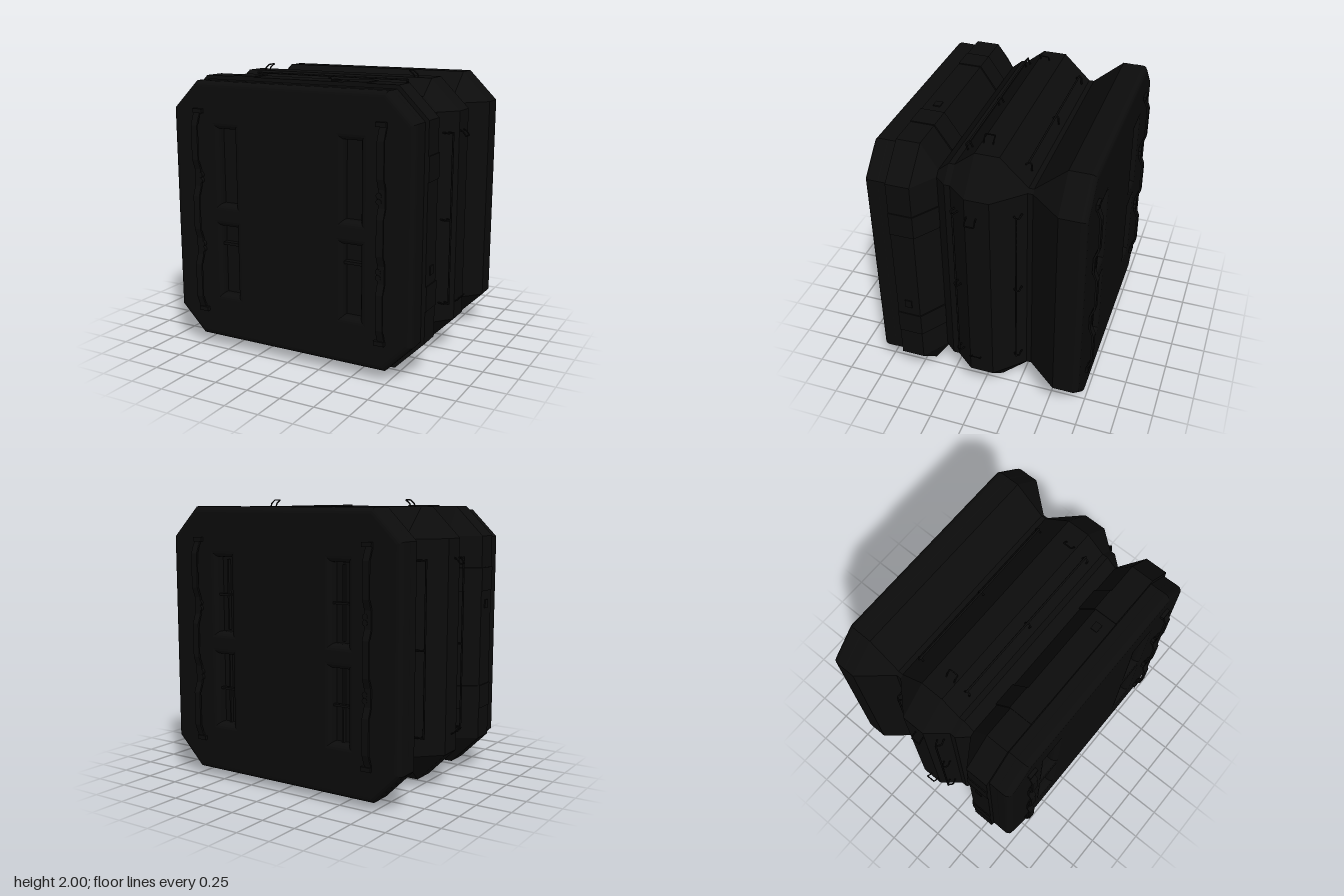
import * as THREE from 'three';

const black = new THREE.MeshStandardMaterial({ color: 0x0c0c0c });
black.name = 'black';

function mesh(geometry, name, parent) {
  const m = new THREE.Mesh(geometry, black);
  m.name = name;
  parent.add(m);
  return m;
}

function box(w, h, d, x, y, z, name, parent) {
  const m = mesh(new THREE.BoxGeometry(w, h, d), name, parent);
  m.position.set(x, y, z);
  return m;
}

// Square of half size h whose corners are cut at c
const octagon = (h, c) => [
  [h, -c], [h, c], [c, h], [-c, h], [-h, c], [-h, -c], [-c, -h], [c, -h],
];

// Faceted loft through octagons listed as [z, h, c]
function loftGeometry(sections) {
  const pos = [];
  const rings = sections.map(([z, h, c]) => octagon(h, c).map(([x, y]) => [x, y, z]));
  const tri = (a, b, c) => pos.push(...a, ...b, ...c);
  for (let s = 0; s < rings.length - 1; s++) {
    const a = rings[s], b = rings[s + 1];
    for (let i = 0; i < 8; i++) {
      const j = (i + 1) % 8;
      tri(a[i], a[j], b[j]);
      tri(a[i], b[j], b[i]);
    }
  }
  const first = rings[0], last = rings[rings.length - 1];
  for (let i = 1; i < 7; i++) {
    tri(first[0], first[i + 1], first[i]);
    tri(last[0], last[i], last[i + 1]);
  }
  const g = new THREE.BufferGeometry();
  g.setAttribute('position', new THREE.Float32BufferAttribute(pos, 3));
  g.computeVertexNormals();
  return g;
}

// Rounded end panel with four slots; back edge at z = 0
function panelGeometry(h, c, depth, bevel) {
  const toPoints = (list) => list.map(([x, y]) => new THREE.Vector2(x, y));
  const shape = new THREE.Shape(toPoints(octagon(h, c)));
  for (const x of [-0.485, 0.485]) {
    for (const [y0, y1] of [[-0.59, -0.09], [0.07, 0.60]]) {
      const w = 0.065;
      shape.holes.push(new THREE.Path(toPoints([[x - w, y0], [x - w, y1], [x + w, y1], [x + w, y0]])));
    }
  }
  const g = new THREE.ExtrudeGeometry(shape, {
    depth: depth - 2 * bevel, bevelEnabled: true, bevelSize: bevel,
    bevelThickness: bevel, bevelOffset: -bevel, bevelSegments: 4,
  });
  return g.translate(0, 0, bevel);
}

function tube(points, r, name, parent) {
  const path = new THREE.CurvePath();
  const v = points.map((p) => new THREE.Vector3(...p));
  for (let i = 0; i < v.length - 1; i++) path.add(new THREE.LineCurve3(v[i], v[i + 1]));
  const curve = new THREE.CatmullRomCurve3(v, false, 'catmullrom', 0.1);
  return mesh(new THREE.TubeGeometry(curve, points.length * 8, r, 6), name, parent);
}

// Wavy flat grab strip running up an end face, facing +z
function wavyRail(x, parent) {
  const g = new THREE.Group();
  g.name = 'wavyRail';
  const line = [[0.735, -0.735], [0.75, -0.68]];
  for (const y of [-0.5, 0, 0.5]) {
    line.push([0.75, y - 0.19], [0.776, y - 0.12], [0.776, y + 0.12], [0.75, y + 0.19]);
  }
  line.push([0.75, 0.68], [0.735, 0.735]);
  const t = 0.007;
  const outline = [...line.map(([z, y]) => [z + t, y]), ...line.slice().reverse().map(([z, y]) => [z - t, y])];
  const shape = new THREE.Shape(outline.map(([z, y]) => new THREE.Vector2(z, y)));
  const geo = new THREE.ExtrudeGeometry(shape, { depth: 0.05, bevelEnabled: false });
  geo.rotateY(-Math.PI / 2);
  mesh(geo, 'railStrip', g).position.x = x + 0.025;
  // Feet and round fasteners
  for (const y of [-0.72, 0.72]) box(0.075, 0.03, 0.03, x - Math.sign(x) * 0.012, y, 0.745, 'railFoot', g);
  for (const y of [-0.27, -0.23, 0.23, 0.27]) {
    const knob = mesh(new THREE.CylinderGeometry(0.02, 0.02, 0.03, 12), 'railFastener', g);
    knob.rotation.x = Math.PI / 2;
    knob.position.set(x - Math.sign(x) * 0.02, y, 0.745);
  }
  parent.add(g);
}

// Fittings of one long side, built on the top
function sideFittings() {
  const g = new THREE.Group();
  g.name = 'sideFittings';

  // Long grab rails on the two slopes of the middle ring
  const rails = [
    [[0.11, 0.90], [0.13, 0.94], [0.155, 0.91], [0.14, 0.865]],
    [[-0.245, 0.84], [-0.265, 0.86], [-0.283, 0.85], [-0.285, 0.80]],
  ];
  for (const hook of rails) {
    for (const x of [-0.6, 0, 0.6]) {
      tube(hook.map(([z, y]) => [x, y, z]), 0.006, 'railHook', g);
    }
    const [z, y] = hook[1];
    tube([[-0.61, y, z], [0, y, z], [0.61, y, z]], 0.007, 'grabRail', g);
  }

  // Small bent loops on the crest of the middle ring
  for (const s of [-1, 1]) {
    const p = (x, y, z) => [s * x, y, z];
    tube([
      p(0.61, 0.945, -0.032), p(0.60, 0.97, -0.032), p(0.57, 0.994, -0.032),
      p(0.57, 0.994, 0.032), p(0.60, 0.97, 0.032), p(0.61, 0.945, 0.032),
    ], 0.005, 'gripLoop', g);

    // Thin cover plates wrapped over the front ring
    const profile = new THREE.Shape([
      [0.295, 0.78], [0.41, 0.95], [0.575, 0.95], [0.575, 0.957], [0.405, 0.957], [0.288, 0.786],
    ].map(([z, y]) => new THREE.Vector2(z, y)));
    const plate = new THREE.ExtrudeGeometry(profile, { depth: 0.17, bevelEnabled: false });
    plate.rotateY(-Math.PI / 2);
    mesh(plate, 'coverPlate', g).position.x = s * 0.43 + 0.085;
  }

  // Small latch
  box(0.06, 0.012, 0.05, 0.25, 0.952, 0.49, 'latch', g);
  return g;
}

export function createModel() {
  const model = new THREE.Group();
  model.name = 'storageModule';
  const body = new THREE.Group();
  body.name = 'body';
  body.position.y = 1;
  model.add(body);

  // Hull with three raised rings and two waists
  mesh(loftGeometry([
    [-0.66, 0.949, 0.739], [-0.56, 0.95, 0.74], [-0.345, 0.765, 0.74], [-0.31, 0.765, 0.74],
    [-0.12, 0.95, 0.74], [0.045, 0.95, 0.74], [0.18, 0.84, 0.74], [0.22, 0.84, 0.74],
    [0.295, 0.775, 0.74], [0.41, 0.95, 0.74], [0.575, 0.95, 0.74], [0.576, 0.924, 0.729],
    [0.66, 0.924, 0.729],
  ]), 'hull', body);

  // Front and back slotted panels
  mesh(panelGeometry(0.925, 0.73, 0.135, 0.04), 'frontPanel', body).position.z = 0.6;
  const back = mesh(panelGeometry(0.95, 0.74, 0.14, 0.04), 'backPanel', body);
  back.rotation.y = Math.PI;
  back.position.z = -0.6;

  // Bars inside the slots
  for (const x of [-0.485, 0.485]) {
    box(0.13, 0.02, 0.05, x, -0.22, 0.675, 'frontSlotBar', body);
    for (const y of [-0.34, 0.335]) {
      box(0.13, 0.015, 0.03, x, y, -0.69, 'backSlotBar', body);
      box(0.012, 0.5, 0.025, x, y, -0.675, 'backSlotRib', body);
    }
  }

  // Wavy grab strips on both end faces
  for (const turn of [0, Math.PI]) {
    const end = new THREE.Group();
    end.name = turn ? 'backRails' : 'frontRails';
    end.rotation.y = turn;
    for (const x of [-0.715, 0.715]) wavyRail(x, end);
    body.add(end);
  }

  // Same fittings on top, bottom and both sides
  for (let i = 0; i < 4; i++) {
    const fittings = sideFittings();
    fittings.rotation.z = i * Math.PI / 2;
    body.add(fittings);
  }
  return model;
}
